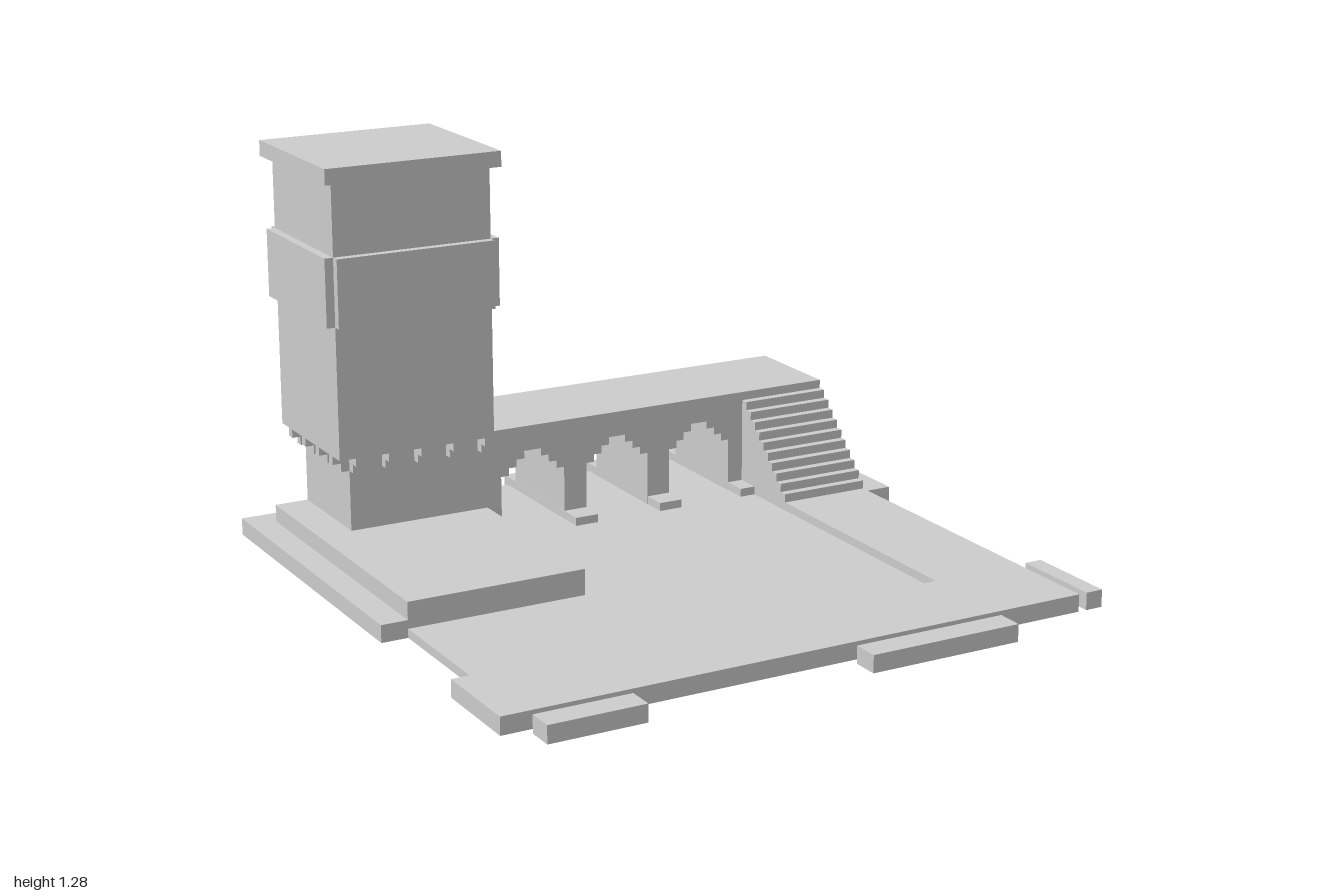
import * as THREE from 'three';

const material = new THREE.MeshStandardMaterial({ color: 0xcccccc, flatShading: true });
const BASE = 0.055, FLOOR = 0.028, DECK = 0.362, U = 0.0277;

function add(parent, name, geometry) {
  const mesh = new THREE.Mesh(geometry, material);
  mesh.name = name;
  parent.add(mesh);
  return mesh;
}

// Box given by its limits on each axis
function block(parent, name, [x0, x1], [y0, y1], [z0, z1]) {
  const g = new THREE.BoxGeometry(x1 - x0, y1 - y0, z1 - z0);
  g.translate((x0 + x1) / 2, (y0 + y1) / 2, (z0 + z1) / 2);
  return add(parent, name, g);
}

function extrude(points, depth) {
  const shape = new THREE.Shape(points.map(([a, b]) => new THREE.Vector2(a, b)));
  return new THREE.ExtrudeGeometry(shape, { depth, bevelEnabled: false });
}

// Plan outline in [x, z], raised from y0 to y1
function plan(parent, name, points, y0, y1) {
  const g = extrude(points.map(([x, z]) => [x, -z]), y1 - y0);
  g.rotateX(-Math.PI / 2).translate(0, y0, 0);
  return add(parent, name, g);
}

function group(parent, name) {
  const g = new THREE.Group();
  g.name = name;
  parent.add(g);
  return g;
}

function buildGround(root) {
  const ground = group(root, 'ground');
  block(ground, 'courtyardFloor', [-0.915, 0.65], [0, FLOOR], [-0.972, 0.62]);
  plan(ground, 'towerPavement', [
    [-1, -1], [-0.283, -1], [-0.283, -0.477], [-0.335, -0.477], [-0.335, 0.107], [-1, 0.107],
  ], 0, BASE);
  plan(ground, 'courtyardBorder', [
    [0.557, -1], [1, -1], [1, -0.255], [0.915, -0.255], [0.915, 0.887], [-1, 0.887],
    [-1, 0.582], [0.61, 0.582], [0.61, -0.477], [0.557, -0.477],
  ], 0, BASE);
  for (const x of [-0.06, 0.25]) block(ground, 'pierFooting', [x, x + 0.08], [0, BASE], [-1, -0.477]);
  block(ground, 'terrace', [-0.915, -0.335], [BASE, 0.111], [-0.917, 0.107]);
  // Loose slabs along the edge
  block(ground, 'looseSlab', [-0.917, -0.612], [0, BASE], [0.915, 1]);
  block(ground, 'looseSlab', [0.11, 0.61], [0, BASE], [0.915, 1]);
  block(ground, 'looseSlab', [0.943, 1], [0, BASE], [0.582, 0.887]);
}

function buildArcade(root) {
  const arcade = group(root, 'arcade');
  // Wall outline with three stepped arches cut from below
  const outline = [[-0.805, FLOOR]];
  for (const centre of [-0.172, 0.135, 0.443]) {
    const side = [[0.113, FLOOR], [0.113, 0.205]];
    for (let i = 1; i <= 3; i++) {
      const w = 0.113 - i * U;
      side.push([w, 0.205 + (i - 1) * 0.025], [w, 0.205 + i * 0.025]);
    }
    outline.push(...side.map(([w, y]) => [centre - w, y]));
    outline.push(...side.slice().reverse().map(([w, y]) => [centre + w, y]));
  }
  outline.push([0.915, FLOOR], [0.915, DECK], [-0.805, DECK]);
  add(arcade, 'archedWall', extrude(outline, 0.357).translate(0, 0, -0.917));

  // Staircase as one stepped profile in [z, y], swept along x
  const steps = [[-0.56, BASE], [-0.283, BASE]];
  for (let i = 0; i < 10; i++) {
    const z = -0.283 - i * U, y = BASE + (i + 1) * 0.0279;
    steps.push([z, y], [z - U, y]);
  }
  const stairs = extrude(steps.map(([z, y]) => [-z, y]), 0.305);
  add(arcade, 'staircase', stairs.rotateY(Math.PI / 2).translate(0.61, 0, 0));
}

function buildTower(root) {
  const tower = group(root, 'tower');
  const X = [-0.86, -0.335], Z = [-0.972, -0.503], DOOR = 0.645;
  // Lower shaft with a narrow doorway recess
  plan(tower, 'lowerShaft', [
    [X[0], Z[0]], [X[1], Z[0]], [X[1], -0.75], [X[1] - BASE, -0.75],
    [X[1] - BASE, -0.692], [X[1], -0.692], [X[1], Z[1]], [X[0], Z[1]],
  ], DECK, DOOR);
  block(tower, 'upperShaft', X, [DOOR, 1.23], Z);
  block(tower, 'roofSlab', [-0.89, -0.308], [1.23, 1.28], [-1, -0.475]);

  // Projecting panels, leaving the corners open
  const band = [0.785, 1.002];
  block(tower, 'frontPanel', X, band, [Z[1], Z[1] + U]);
  block(tower, 'backPanel', X, band, [Z[0] - U, Z[0]]);
  block(tower, 'leftPanel', [X[1], X[1] + U], band, Z);
  block(tower, 'rightPanel', [X[0] - U, X[0]], band, Z);

  // Two-step corbels under the overhang
  for (let step = 1; step <= 2; step++) {
    const y = [DECK - step * U, DECK - (step - 1) * U];
    const out = BASE - (step - 1) * U;
    for (let i = 0; i < 5; i++) {
      const x = -0.805 + i * 0.1097;
      block(tower, 'frontCorbel', [x, x + U], y, [-0.56, -0.56 + out]);
      block(tower, 'backCorbel', [x, x + U], y, [-0.917 - out, -0.917]);
    }
    for (let i = 0; i < 4; i++) {
      const z = -0.917 + i * 0.1097;
      block(tower, 'sideCorbel', [-0.805 - out, -0.805], y, [z, z + U]);
    }
  }
}

export function createModel() {
  const root = new THREE.Group();
  root.name = 'towerCourtyard';
  buildGround(root);
  buildArcade(root);
  buildTower(root);
  return root;
}
